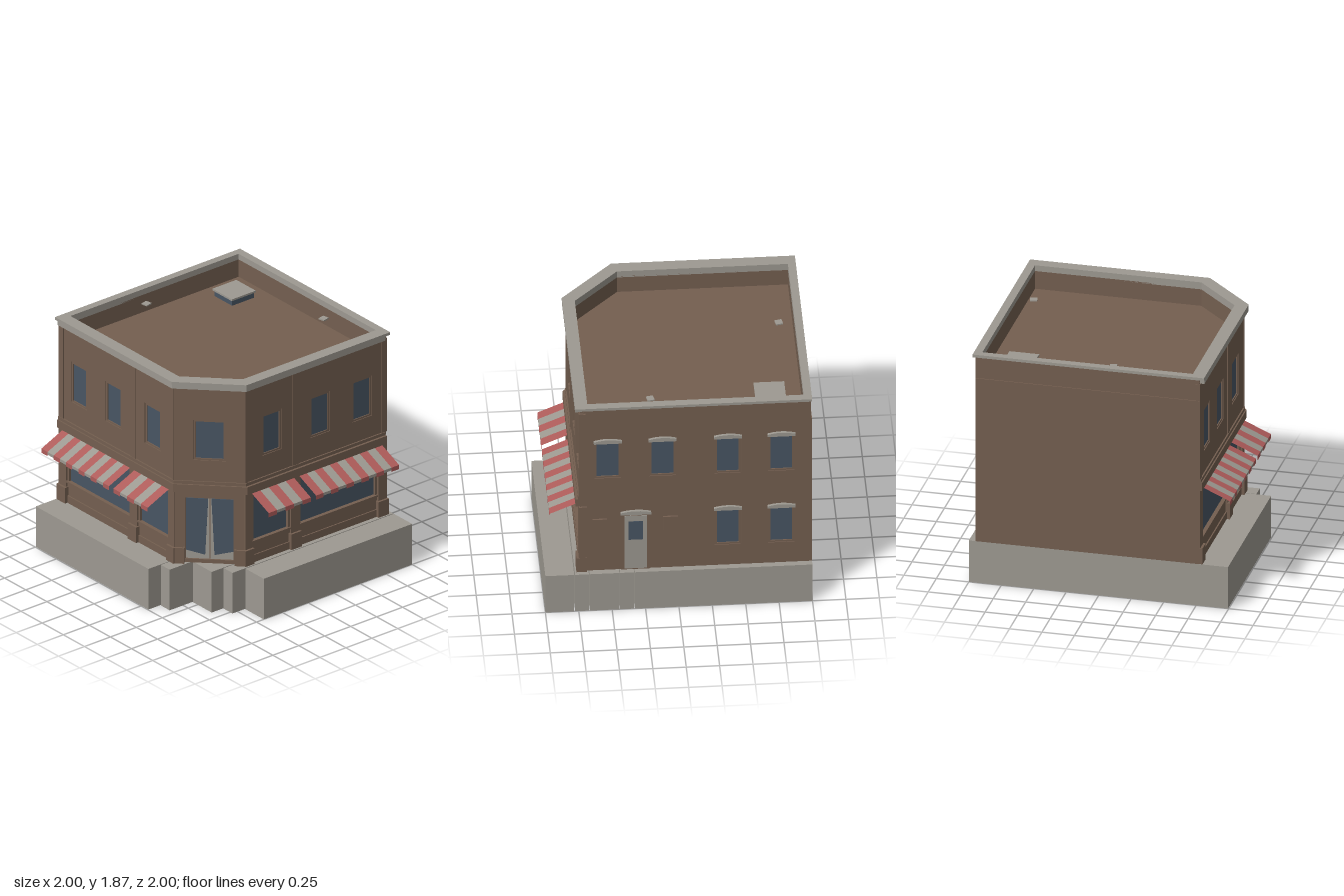
import * as THREE from 'three';

const mat = (name, color, side = THREE.FrontSide) => {
  const m = new THREE.MeshStandardMaterial({ color, side });
  m.name = name;
  return m;
};

export function createModel() {
  const model = new THREE.Group();
  model.name = 'cornerShop';
  const brown = mat('brownBrick', 0x745f50);
  const grey = mat('greyStone', 0x9d9991, THREE.DoubleSide);
  const red = mat('awningRed', 0xae5c5a, THREE.DoubleSide);
  const glass = mat('blueGlass', 0x485563);

  const add = (parent, name, geo, material) => {
    const mesh = new THREE.Mesh(geo, material);
    mesh.name = name;
    parent.add(mesh);
    return mesh;
  };
  // Box given by its limits on each axis
  const box = (parent, name, m, x0, x1, y0, y1, z0, z1) => {
    const b = add(parent, name, new THREE.BoxGeometry(Math.abs(x1 - x0), y1 - y0, z1 - z0), m);
    b.position.set((x0 + x1) / 2, (y0 + y1) / 2, (z0 + z1) / 2);
    return b;
  };
  // Rectangle with its front right corner cut along x + z = cut
  const outline = (left, right, back, front, cut) => [
    [left, front], [cut - front, front], [right, cut - right], [right, back], [left, back],
  ].map(([x, z]) => new THREE.Vector2(x, -z));
  const slab = (name, m, y0, y1, outer, inner) => {
    const shape = new THREE.Shape(outer);
    if (inner) shape.holes.push(new THREE.Path(inner));
    const geo = new THREE.ExtrudeGeometry(shape, { depth: y1 - y0, bevelEnabled: false });
    geo.rotateX(-Math.PI / 2).translate(0, y0, 0);
    return add(model, name, geo, m);
  };
  const group = (name, x, z, turn) => {
    const g = new THREE.Group();
    g.name = name;
    g.position.set(x, 0, z);
    g.rotation.y = turn;
    model.add(g);
    return g;
  };

  // Stepped pavement, in strips separated by narrow joints
  for (const [x0, x1, front] of [[-1, 0.33, 0.995], [0.336, 0.44, 0.88], [0.446, 0.667, 0.66],
    [0.674, 0.777, 0.55], [0.784, 1, 0.43]]) {
    box(model, 'pavement', grey, x0, x1, 0, 0.34, -1, front);
  }

  // Building body, parapet, belt course and cornice
  const inner = outline(-0.94, 0.68, -0.91, 0.71, 1.05);
  slab('bodyAndRoof', brown, 0.34, 1.675, outline(-0.985, 0.705, -0.925, 0.74, 1.09));
  slab('parapet', brown, 1.6, 1.82, outline(-0.985, 0.705, -0.925, 0.74, 1.09), inner);
  slab('beltCourse', brown, 0.94, 1.005, outline(-0.995, 0.77, -0.945, 0.795, 1.17));
  slab('beltCap', brown, 1.005, 1.03, outline(-0.995, 0.752, -0.945, 0.785, 1.153));
  slab('corniceMoulding', grey, 1.81, 1.845, outline(-0.975, 0.773, -0.93, 0.807, 1.184), inner);
  slab('corniceCap', grey, 1.845, 1.867, outline(-1, 0.775, -0.972, 0.81, 1.188), inner);
  box(model, 'leftWall', brown, -1, -0.95, 0.34, 1.675, -0.95, 0.775);
  box(model, 'leftParapet', brown, -0.992, -0.95, 1.6, 1.845, -0.95, 0.773);

  // Roof hatch and flat vent caps
  box(model, 'roofHatchSides', glass, -0.81, -0.6, 1.66, 1.72, -0.78, -0.57);
  box(model, 'roofHatchLid', grey, -0.82, -0.59, 1.72, 1.735, -0.79, -0.56);
  for (const [x, z] of [[0.2, -0.8], [-0.825, 0.07]]) {
    const vent = box(model, 'roofVentCap', grey, x - 0.027, x + 0.027, 1.805, 1.815, z - 0.027, z + 0.027);
    vent.rotation.y = 0.2;
  }

  // Wall with framed windows set into openings [x, y, width, height]; z is its outer surface
  const wall = (parent, x0, x1, y0, y1, z, windows) => {
    const rect = (Type, a, b, c, d) => new Type([[a, c], [b, c], [b, d], [a, d]]
      .map(([x, y]) => new THREE.Vector2(x, y)));
    const shape = rect(THREE.Shape, x0, x1, y0, y1);
    for (const [x, y, w, h] of windows) {
      const a = w / 2, b = h / 2, f = 0.018;
      shape.holes.push(rect(THREE.Path, x - a, x + a, y - b, y + b));
      const g = new THREE.Group();
      g.name = 'window';
      g.position.set(x, y, z);
      parent.add(g);
      for (const s of [-1, 1]) {
        box(g, 'windowJamb', brown, s * (a - f), s * a, -b, b, -0.03, -0.006);
        box(g, 'windowRail', brown, f - a, a - f, s * (b - 0.007) - 0.007, s * (b - 0.007) + 0.007, -0.03, -0.006);
      }
      box(g, 'windowPane', glass, f - a, a - f, -b, b, -0.022, -0.014);
    }
    const geo = new THREE.ExtrudeGeometry(shape, { depth: 0.03, bevelEnabled: false });
    add(parent, 'wall', geo, brown).position.z = z - 0.03;
  };

  // Striped awning: sloping sheet with a short hanging edge
  const awning = (parent, u0, u1, stripes, s) => {
    const w = (u1 - u0) / stripes;
    const profile = [[0.942, 0.005], [0.85, 0.215], [0.815, 0.215]];
    for (let i = 0; i < stripes; i++) {
      const geo = new THREE.PlaneGeometry(w, 1, 1, 2).toNonIndexed();
      const p = geo.attributes.position;
      for (let k = 0; k < p.count; k++) {
        const [y, z] = profile[Math.round((0.5 - p.getY(k)) * 2)];
        p.setY(k, i % 2 && y < 0.82 ? y + 0.012 : y);
        p.setZ(k, z);
      }
      geo.computeVertexNormals();
      const stripe = add(parent, 'awningStripe', geo, i % 2 ? grey : red);
      stripe.position.x = s * (u0 + (i + 0.5) * w);
    }
  };

  // Shop front; s mirrors the layout for the second street
  const facade = (name, x, z, turn, s) => {
    const g = group(name, x, z, turn);
    const part = (label, m, u0, u1, y0, y1, z0, z1) => box(g, label, m, s * u0, s * u1, y0, y1, z0, z1);
    for (const [u0, u1] of [[-0.995, -0.91], [-0.155, -0.07], [0.3, 0.37]]) {
      part('pilaster', brown, u0, u1, 0.34, 0.94, -0.06, 0);
      part('pilasterBase', brown, u0 - 0.003, u1 + 0.012, 0.34, 0.47, -0.06, 0.018);
    }
    for (const [u0, u1] of [[-0.995, -0.94], [-0.145, -0.085], [0.34, 0.364]]) {
      part('upperPilaster', brown, u0, u1, 1.03, 1.81, -0.05, 0);
    }
    for (const [u0, u1] of [[-0.91, -0.155], [-0.07, 0.3]]) {
      part('stallRiser', brown, u0, u1, 0.34, 0.505, -0.06, -0.015);
      part('plinth', brown, u0, u1, 0.34, 0.4, -0.06, -0.005);
      part('shopSill', brown, u0, u1, 0.505, 0.52, -0.06, -0.003);
      part('shopHeader', brown, u0, u1, 0.9, 0.945, -0.06, -0.015);
      part('shopPane', glass, u0 + 0.015, u1 - 0.015, 0.52, 0.9, -0.042, -0.034);
      part('shopJamb', brown, u0, u0 + 0.02, 0.5, 0.92, -0.06, -0.015);
      part('shopJamb', brown, u1 - 0.02, u1, 0.5, 0.92, -0.06, -0.015);
    }
    awning(g, -0.935, -0.135, 11, s);
    awning(g, -0.085, 0.322, 5, s);
    const ends = [-0.99 * s, 0.364 * s].sort((a, b) => a - b);
    wall(g, ...ends, 1, 1.82, -0.006, [-0.76, -0.355, 0.11].map((u) => [s * u, 1.372, 0.19, 0.335]));
  };
  facade('frontFacade', 0, 0.78, 0, 1);
  facade('rightFacade', 0.747, 0.03, Math.PI / 2, -1);

  // Cut corner with double door
  const corner = group('cornerEntrance', 0.555, 0.59, Math.PI / 4);
  wall(corner, -0.268, 0.268, 1, 1.82, -0.003, [[0, 1.372, 0.245, 0.335]]);
  box(corner, 'doorHeader', brown, -0.25, 0.25, 0.885, 0.945, -0.06, -0.008);
  box(corner, 'threshold', brown, -0.2, 0.2, 0.34, 0.37, -0.06, -0.015);
  for (const s of [-1, 1]) {
    box(corner, 'entrancePilaster', brown, s * 0.195, s * 0.262, 0.34, 0.94, -0.06, 0);
    box(corner, 'entrancePilasterBase', brown, s * 0.188, s * 0.28, 0.34, 0.47, -0.06, 0.016);
    box(corner, 'doorLeaf', grey, s * 0.003, s * 0.18, 0.37, 0.88, -0.05, -0.028);
    box(corner, 'doorPost', brown, s * 0.18, s * 0.2, 0.34, 0.9, -0.06, -0.015);
    const pane = new THREE.Shape([[0.035, 0.405], [0.178, 0.44], [0.178, 0.875], [0.012, 0.875]]
      .map(([x, y]) => new THREE.Vector2(s * x, y)));
    add(corner, 'doorPane', new THREE.ExtrudeGeometry(pane, { depth: 0.005, bevelEnabled: false }), glass)
      .position.z = -0.028;
  }

  // Back wall with windows, hoods, service door and vents
  const back = group('backFacade', 0, -0.952, Math.PI);
  const hood = (x, y, w) => {
    const a = w / 2;
    const shape = new THREE.Shape();
    shape.moveTo(-a, 0);
    shape.lineTo(a, 0);
    shape.lineTo(a, 0.02);
    shape.quadraticCurveTo(0, 0.05, -a, 0.02);
    const geo = new THREE.ExtrudeGeometry(shape, { depth: 0.02, bevelEnabled: false, curveSegments: 6 });
    add(back, 'windowHood', geo, grey).position.set(-x, y, 0);
  };
  const openings = [[0.53, 1.365], [0.12, 1.365], [-0.37, 1.365], [-0.77, 1.365], [-0.37, 0.695], [-0.77, 0.695]];
  wall(back, -0.738, 0.99, 0.34, 1.845, 0, openings.map(([x, y]) => [-x, y, 0.2, 0.335]));
  for (const [x, y] of openings) hood(x, y + 0.165, 0.21);
  box(back, 'serviceDoorFrame', brown, -0.43, -0.21, 0.34, 0.86, -0.01, 0.006);
  box(back, 'serviceDoor', grey, -0.405, -0.235, 0.35, 0.84, 0, 0.01);
  box(back, 'serviceDoorPane', glass, -0.375, -0.265, 0.62, 0.79, 0.006, 0.013);
  hood(0.32, 0.855, 0.23);
  for (const x of [0.59, 0.06]) box(back, 'wallVent', brown, -x - 0.055, -x + 0.055, 0.7, 0.82, -0.01, 0.014);

  return model;
}
